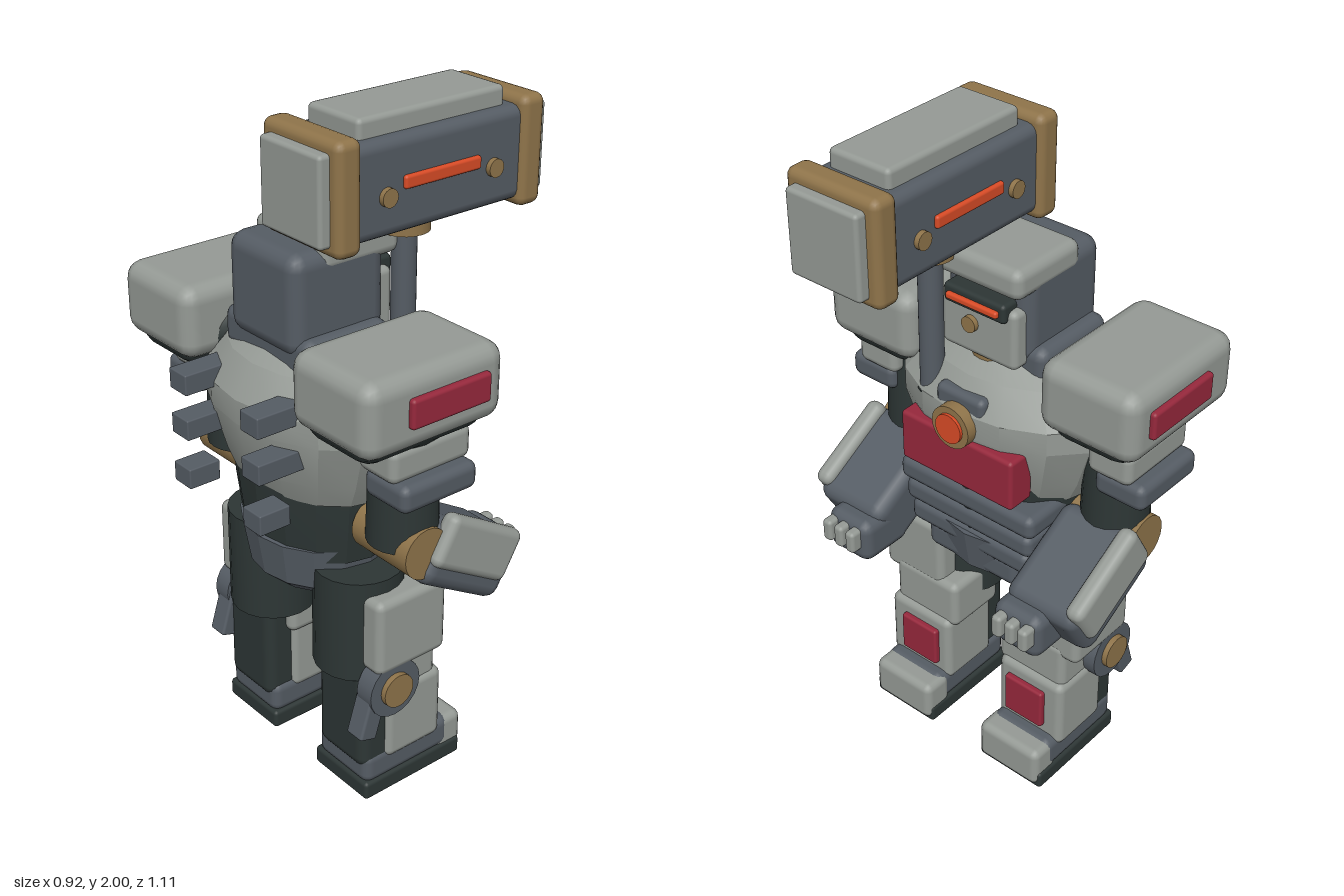
import * as THREE from 'three';
import { RoundedBoxGeometry } from 'three/addons/geometries/RoundedBoxGeometry.js';
import { toCreasedNormals } from 'three/addons/utils/BufferGeometryUtils.js';

const mat = (name, color) => {
  const m = new THREE.MeshStandardMaterial({ color });
  m.name = name;
  return m;
};

export function createModel() {
  const model = new THREE.Group();
  const grey = mat('light grey armour', 0x959a95);
  const slate = mat('slate metal', 0x555c64);
  const dark = mat('dark joints', 0x2d3635);
  const bronze = mat('bronze', 0x8f744a);
  const red = mat('crimson panel', 0x96283c);
  const glow = mat('orange glow', 0xd84b26);

  const add = (parent, name, geo, m) => {
    const mesh = new THREE.Mesh(geo, m);
    mesh.name = name;
    parent.add(mesh);
    return mesh;
  };
  // Rounded box given by its extents on each axis
  const box = (parent, name, m, [x0, x1], [y0, y1], [z0, z1], r = 0.02) => {
    const w = x1 - x0, h = y1 - y0, d = z1 - z0;
    const mesh = add(parent, name, new RoundedBoxGeometry(w, h, d, 2, Math.min(r, w * 0.45, h * 0.45, d * 0.45)), m);
    mesh.position.set((x0 + x1) / 2, (y0 + y1) / 2, (z0 + z1) / 2);
    return mesh;
  };
  // Cylinder centred at a point, along axis x, y or z
  const rod = (parent, name, m, axis, r, len, pos, rBottom = r) => {
    const mesh = add(parent, name, new THREE.CylinderGeometry(r, rBottom, len, 20), m);
    if (axis === 'x') mesh.rotation.z = -Math.PI / 2;
    if (axis === 'z') mesh.rotation.x = Math.PI / 2;
    mesh.position.set(...pos);
    return mesh;
  };
  // Faceted oval body: profile of [radius, y], bottom to top
  const oval = (parent, name, m, profile, cx, rx, rz) => {
    const g = new THREE.LatheGeometry(profile.map(([r, y]) => new THREE.Vector2(r, y)), 16);
    g.scale(rx, 1, rz);
    const mesh = add(parent, name, toCreasedNormals(g, 0.3), m);
    mesh.position.x = cx;
    return mesh;
  };

  // Torso
  const torso = new THREE.Group();
  torso.name = 'torso';
  model.add(torso);
  oval(torso, 'chest', grey, [[0, 0.95], [0.76, 0.95], [0.86, 1.02], [1, 1.16], [1, 1.23], [0.78, 1.32], [0.55, 1.36], [0, 1.36]], -0.125, 0.262, 0.36);
  oval(torso, 'waist', dark, [[0, 0.75], [0.88, 0.75], [0.96, 0.9], [1, 1.03], [0, 1.03]], -0.115, 0.22, 0.27);
  oval(torso, 'pelvis', slate, [[0, 0.62], [0.7, 0.62], [0.9, 0.66], [1, 0.79], [0, 0.8]], -0.11, 0.217, 0.24);
  box(torso, 'pelvisFront', slate, [-0.1, 0.08], [0.65, 0.75], [-0.17, 0.17], 0.03);
  for (let i = 0; i < 3; i++)
    box(torso, 'bellyBand', slate, [-0.08, 0.11 - i * 0.008], [0.88 - i * 0.075, 0.955 - i * 0.075], [-0.245 + i * 0.012, 0.245 - i * 0.012], 0.025);
  box(torso, 'chestPanel', red, [0.05, 0.142], [0.99, 1.15], [-0.2, 0.2], 0.012);
  box(torso, 'lampMount', slate, [0.0, 0.125], [1.19, 1.285], [-0.085, 0.085], 0.02);
  rod(torso, 'lampRing', bronze, 'x', 0.065, 0.08, [0.12, 1.19, 0]);
  rod(torso, 'lampLens', glow, 'x', 0.045, 0.012, [0.163, 1.19, 0]);
  for (const [y, x1] of [[1.245, -0.28], [1.11, -0.28], [0.96, -0.36]])
    for (const z of [-0.16, 0.16])
      box(torso, 'backExhaust', slate, [-0.46, x1], [y - 0.03, y + 0.03], [z - 0.038, z + 0.038], 0.004);

  // Head
  const head = new THREE.Group();
  head.name = 'head';
  model.add(head);
  box(head, 'collar', slate, [-0.287, -0.003], [1.3, 1.42], [-0.19, 0.19], 0.035);
  rod(head, 'neck', bronze, 'y', 0.075, 0.08, [-0.04, 1.34, 0]);
  box(head, 'helmet', slate, [-0.3, 0.01], [1.36, 1.645], [-0.148, 0.148], 0.045);
  box(head, 'face', grey, [-0.08, 0.045], [1.36, 1.54], [-0.13, 0.13], 0.02);
  box(head, 'crownPlate', grey, [-0.207, 0.057], [1.58, 1.67], [-0.15, 0.15], 0.03);
  box(head, 'visorFrame', dark, [-0.02, 0.062], [1.505, 1.562], [-0.105, 0.105], 0.012);
  box(head, 'visorSlit', glow, [0.05, 0.075], [1.523, 1.543], [-0.088, 0.088], 0.007);
  rod(head, 'faceBolt', bronze, 'x', 0.024, 0.02, [0.05, 1.46, 0.02]);

  // Arms, built on the +z side (s = 1) and repeated on the -z side
  for (const s of [1, -1]) {
    const arm = new THREE.Group();
    arm.name = s > 0 ? 'armPositiveZ' : 'armNegativeZ';
    model.add(arm);
    const part = (name, m, x, y, [a, b], r) => box(arm, name, m, x, y, s > 0 ? [a, b] : [-b, -a], r);

    const joint = add(arm, 'shoulderJoint', new THREE.SphereGeometry(1, 20, 14), dark);
    joint.scale.set(0.21, 0.14, 0.17);
    joint.position.set(-0.15, 1.3, s * 0.35);
    part('shoulderUnderside', dark, [-0.365, 0.055], [1.21, 1.36], [0.24, 0.51], 0.06);
    part('shoulderPad', grey, [-0.385, 0.075], [1.245, 1.46], [0.22, 0.54], 0.05);
    part('shoulderPanel', red, [-0.255, 0.007], [1.317, 1.4], [0.52, 0.557], 0.01);
    rod(arm, 'upperArm', dark, 'y', 0.09, 0.36, [-0.115, 1.06, s * 0.365], 0.1);
    part('upperArmPlate', grey, [-0.26, 0.01], [1.13, 1.23], [0.345, 0.49], 0.025);
    part('upperArmBand', slate, [-0.255, 0.0], [1.06, 1.14], [0.365, 0.53], 0.025);
    rod(arm, 'elbow', bronze, 'z', 0.075, 0.22, [-0.12, 0.875, s * 0.36]);

    // Forearm slopes forward and down
    const fore = new THREE.Group();
    fore.name = 'forearm';
    fore.position.set(0.04, 0.8, s * 0.36);
    fore.rotation.z = -0.53;
    arm.add(fore);
    box(fore, 'forearmBody', slate, [-0.16, 0.17], [-0.105, 0.085], [-0.125, 0.125], 0.04);
    const plate = s > 0 ? [0.08, 0.14] : [-0.14, -0.08];
    box(fore, 'forearmPlate', grey, [-0.155, 0.145], [-0.045, 0.11], plate, 0.025);

    part('hand', slate, [0.08, 0.268], [0.64, 0.78], [0.235, 0.4], 0.035);
    for (let i = 0; i < 3; i++) {
      const z = 0.278 + i * 0.045;
      part('finger', grey, [0.23, 0.3], [0.69, 0.762], [z - 0.017, z + 0.017], 0.012);
    }
  }

  // Legs
  for (const s of [1, -1]) {
    const leg = new THREE.Group();
    leg.name = s > 0 ? 'legPositiveZ' : 'legNegativeZ';
    model.add(leg);
    const part = (name, m, x, y, [a, b], r) => box(leg, name, m, x, y, s > 0 ? [a, b] : [-b, -a], r);

    rod(leg, 'thighCore', dark, 'y', 0.13, 0.32, [-0.13, 0.57, s * 0.2]);
    part('thighArmour', grey, [-0.2, 0.05], [0.45, 0.69], [0.145, 0.375], 0.025);
    part('kneeArmour', grey, [-0.15, 0.055], [0.33, 0.495], [0.085, 0.33], 0.025);
    part('shinCore', dark, [-0.215, 0.0], [0.1, 0.44], [0.115, 0.325], 0.035);
    part('shinArmour', grey, [-0.135, 0.072], [0.115, 0.355], [0.1, 0.34], 0.025);
    part('shinPanel', red, [0.05, 0.09], [0.175, 0.31], [0.14, 0.28], 0.008);
    rod(leg, 'kneeDisc', slate, 'z', 0.09, 0.06, [-0.135, 0.39, s * 0.34]);
    rod(leg, 'kneeCap', bronze, 'z', 0.052, 0.03, [-0.135, 0.39, s * 0.372]);
    const strut = part('calfStrut', slate, [-0.235, -0.175], [0.245, 0.4], [0.3, 0.365], 0.008);
    strut.rotation.z = -0.3;
    part('foot', slate, [-0.205, 0.12], [0.045, 0.15], [0.105, 0.33], 0.03);
    part('sole', dark, [-0.21, 0.155], [0, 0.058], [0.098, 0.335], 0.012);
    part('toe', grey, [0.065, 0.168], [0.012, 0.145], [0.102, 0.328], 0.025);
  }

  // Hammer held upright beside the head
  const hammer = new THREE.Group();
  hammer.name = 'hammer';
  model.add(hammer);
  const hz = 0.137;
  rod(hammer, 'handle', slate, 'y', 0.035, 0.46, [0.075, 1.44, hz]);
  rod(hammer, 'pommel', dark, 'y', 0.042, 0.06, [0.075, 1.195, hz], 0.018);
  rod(hammer, 'handleCollar', bronze, 'y', 0.07, 0.06, [0.075, 1.67, hz]);
  box(hammer, 'hammerCore', slate, [-0.22, 0.37], [1.692, 1.948], [0.0, 0.275], 0.03);
  box(hammer, 'hammerTopPlate', grey, [-0.168, 0.32], [1.92, 2.0], [0.037, 0.24], 0.015);
  for (const [x0, x1] of [[-0.27, -0.19], [0.343, 0.423]])
    box(hammer, 'hammerBand', bronze, [x0, x1], [1.672, 1.972], [-0.018, 0.29], 0.025);
  for (const [x0, x1] of [[-0.302, -0.25], [0.4, 0.455]])
    box(hammer, 'hammerFace', grey, [x0, x1], [1.7, 1.94], [0.017, 0.257], 0.012);
  for (const z of [-0.003, 0.278]) {
    box(hammer, 'hammerGlow', glow, [-0.053, 0.203], [1.811, 1.847], [z - 0.009, z + 0.009], 0.008);
    for (const x of [-0.105, 0.253])
      rod(hammer, 'hammerBolt', bronze, 'z', 0.025, 0.024, [x, 1.803, z]);
  }
  return model;
}
